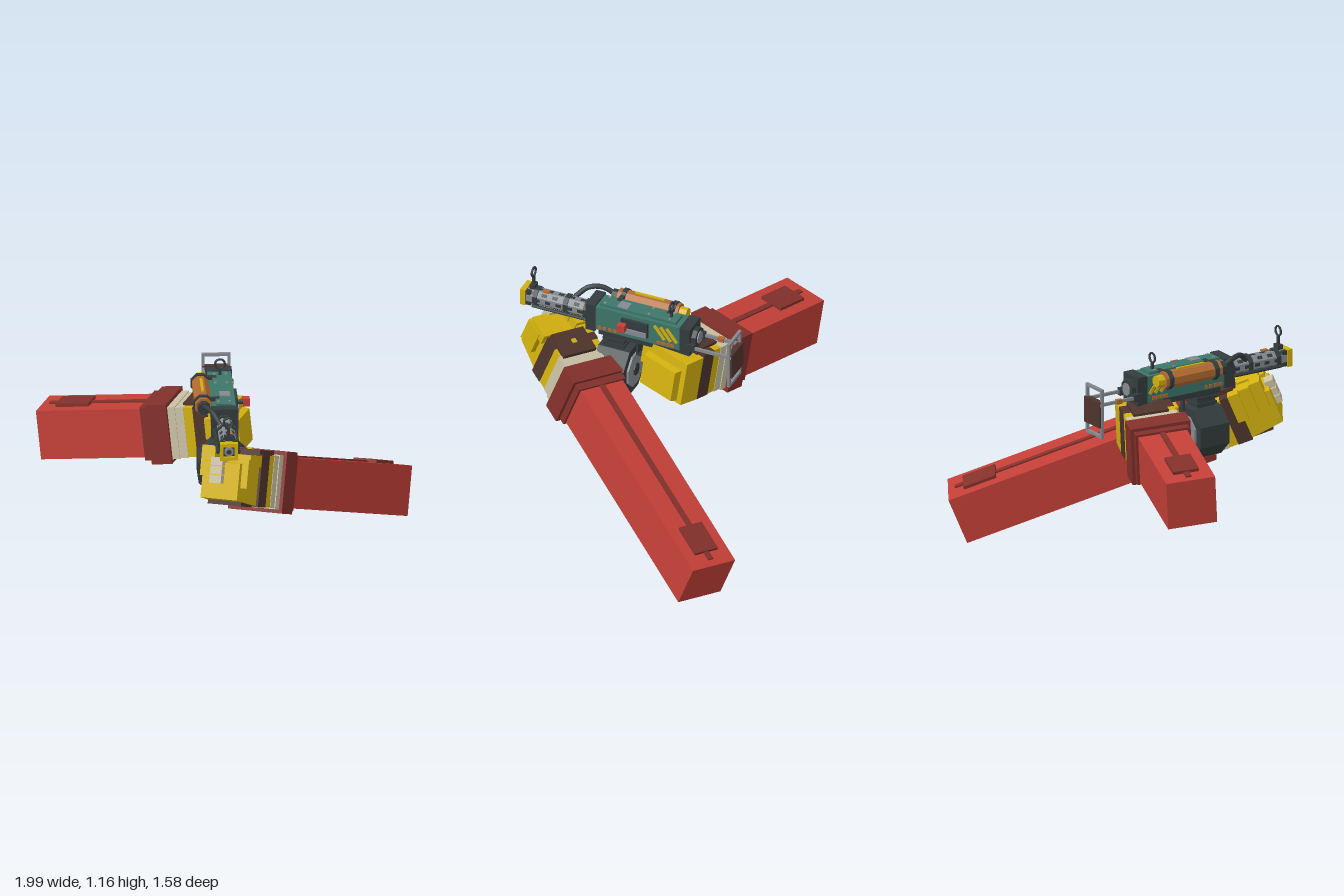
import * as THREE from 'three';

const mat = (name, color) => {
  const m = new THREE.MeshStandardMaterial({ color });
  m.name = name;
  return m;
};
const M = {
  red: mat('sleeve red', 0xc23f37), darkRed: mat('cuff dark red', 0x83302a),
  cream: mat('cream cloth', 0xc9c0a3), brown: mat('brown leather', 0x4e342c),
  yellow: mat('armour yellow', 0xd2b00f), teal: mat('receiver teal', 0x3d756a),
  dark: mat('gunmetal', 0x343c3d), steel: mat('steel', 0x858a90),
  copper: mat('copper orange', 0xb06a30),
};

function add(parent, name, geo, m, x, y, z) {
  const mesh = new THREE.Mesh(geo, m);
  mesh.name = name;
  mesh.position.set(x, y, z);
  parent.add(mesh);
  return mesh;
}
const box = (p, name, m, x, y, z, w, h, d) => add(p, name, new THREE.BoxGeometry(w, h, d), m, x, y, z);

// box whose +z end is scaled down
function wedge(p, name, m, x, y, z, w, h, d, sx, sy) {
  const g = new THREE.BoxGeometry(w, h, d).toNonIndexed(), a = g.attributes.position;
  for (let i = 0; i < a.count; i++) if (a.getZ(i) > 0) a.setXY(i, a.getX(i) * sx, a.getY(i) * sy);
  g.computeVertexNormals();
  return add(p, name, g, m, x, y, z);
}

// faceted cylinder along z
function rod(p, name, m, x, y, z, r, len, sides = 8) {
  let g = new THREE.CylinderGeometry(r, r, len, sides).rotateX(Math.PI / 2).rotateZ(Math.PI / sides);
  g = g.toNonIndexed();
  g.computeVertexNormals();
  return add(p, name, g, m, x, y, z);
}

// arm along its own +z, from the open sleeve end towards the hand
function arm(name, pos, up, axis, cuff) {
  const g = new THREE.Group();
  g.name = name;
  const u = new THREE.Vector3(...axis).normalize(), v = new THREE.Vector3(...up);
  v.addScaledVector(u, -v.dot(u)).normalize();
  g.quaternion.setFromRotationMatrix(new THREE.Matrix4().makeBasis(v.clone().cross(u), v, u));
  g.position.set(...pos);
  box(g, 'sleeve', M.red, 0, 0, (cuff + 0.03) / 2, 0.265, 0.265, cuff + 0.03);
  box(g, 'sleeveSeam', M.darkRed, 0, 0.135, cuff / 2 + 0.02, 0.03, 0.012, cuff - 0.04);
  box(g, 'sleevePatch', M.darkRed, 0, 0.139, 0.18, 0.14, 0.02, 0.18);
  // stacked bands: name, colour, start, end, size
  for (const [n, m, a, b, s] of [
    ['cuffTrim', M.darkRed, 0, 0.05, 0.29], ['cuff', M.darkRed, 0.04, 0.15, 0.325],
    ['wrap', M.cream, 0.15, 0.19, 0.285], ['wrapOuter', M.cream, 0.19, 0.235, 0.275],
    ['gloveTrim', M.yellow, 0.235, 0.285, 0.27], ['gloveBand', M.brown, 0.285, 0.365, 0.275],
  ]) box(g, n, m, 0, 0, cuff + (a + b) / 2, s, s, b - a);
  return g;
}

function leftArm() {
  const c = 1.24, g = arm('leftArm', [0.865, 0.14, -0.67], [0.111, 0.923, -0.369], [-0.535, 0.369, 0.761], c);
  // supporting hand with armour plates and curled fingers
  wedge(g, 'leftPalm', M.yellow, 0, -0.015, c + 0.45, 0.25, 0.235, 0.19, 0.88, 0.82);
  box(g, 'leftStrap', M.brown, 0.02, 0.14, c + 0.29, 0.2, 0.04, 0.15);
  box(g, 'strapStud', M.yellow, 0.02, 0.163, c + 0.29, 0.025, 0.012, 0.025);
  box(g, 'knucklePlate', M.yellow, 0.11, 0.03, c + 0.47, 0.08, 0.15, 0.11);
  box(g, 'knuckleRidge', M.yellow, 0.08, 0.1, c + 0.44, 0.13, 0.06, 0.12);
  box(g, 'palmSole', M.brown, 0, -0.128, c + 0.42, 0.2, 0.025, 0.12);
  for (let i = 0; i < 3; i++) {
    box(g, 'finger', M.yellow, -0.1, 0.06 + i * 0.012, c + 0.36 + i * 0.065, 0.08, 0.16, 0.06);
    box(g, 'fingerWrap', M.cream, -0.015, 0.085 - i * 0.047, c + 0.55, 0.07, 0.042, 0.05);
  }
  return g;
}

function rightArm() {
  const c = 0.57, g = arm('rightArm', [-0.944, 0.645, -0.40], [-0.098, 0.989, -0.113], [0.941, 0.129, 0.314], c);
  // trigger hand
  wedge(g, 'rightFist', M.yellow, 0, -0.01, c + 0.42, 0.27, 0.26, 0.13, 0.96, 0.96);
  wedge(g, 'rightKnuckles', M.yellow, -0.02, -0.03, c + 0.5, 0.24, 0.19, 0.05, 0.92, 0.9);
  box(g, 'rightStrap', M.brown, 0, 0.13, c + 0.3, 0.19, 0.04, 0.15);
  box(g, 'thumb', M.yellow, -0.15, 0.03, c + 0.42, 0.06, 0.11, 0.13);
  return g;
}

// upright ring sight
function sight(p, name, z) {
  const s = new THREE.Group();
  s.name = name;
  p.add(s);
  box(s, 'sightFoot', M.dark, 0, 1.045, z, 0.045, 0.025, 0.03);
  box(s, 'sightPost', M.dark, 0, 1.075, z, 0.014, 0.06, 0.012);
  add(s, 'sightRing', new THREE.TorusGeometry(0.026, 0.006, 6, 12), M.dark, 0, 1.13, z);
}

function gun() {
  const g = new THREE.Group();
  g.name = 'gun';
  g.position.x = -0.05;
  // receiver
  box(g, 'receiver', M.teal, 0, 0.985, 0.11, 0.125, 0.14, 0.49);
  box(g, 'receiverTop', M.teal, 0, 1.06, 0.12, 0.085, 0.018, 0.44);
  box(g, 'lowerRail', M.dark, 0, 0.9, 0.08, 0.1, 0.04, 0.52);
  box(g, 'frontBlock', M.dark, 0, 0.985, 0.38, 0.14, 0.16, 0.055);
  box(g, 'rearBlock', M.dark, 0, 0.98, -0.16, 0.135, 0.16, 0.06);
  rod(g, 'rearCap', M.dark, 0, 0.985, -0.2, 0.055, 0.03);
  rod(g, 'rearCapPlate', M.steel, 0, 0.985, -0.215, 0.035, 0.012);
  box(g, 'topPlate', M.steel, 0.01, 1.071, 0.21, 0.055, 0.008, 0.06);
  for (const z of [-0.06, 0.06, 0.31]) for (const x of [-0.03, 0.03])
    box(g, 'topBolt', M.steel, x, 1.07, z, 0.013, 0.01, 0.013);
  // painted marks on both sides
  for (const s of [-1, 1]) {
    for (let i = 0; i < 3; i++) {
      const stripe = box(g, 'hazardStripe', M.yellow, s * 0.064, 0.995, -0.015 - i * 0.035, 0.006, 0.095, 0.018);
      stripe.rotation.x = 0.65;
    }
    for (let i = 0; i < 4; i++) {
      box(g, 'frontMark', M.copper, s * 0.064, 0.932, 0.33 - i * 0.03, 0.006, 0.018, 0.02);
      box(g, 'rearMark', M.copper, s * 0.064, 0.932, -0.01 - i * 0.026, 0.006, 0.018, 0.022);
    }
  }
  // ejection port and charging handle on the left side
  box(g, 'portFrame', M.dark, 0.07, 0.99, 0.125, 0.02, 0.085, 0.15);
  box(g, 'portBolt', M.steel, 0.081, 0.967, 0.12, 0.014, 0.03, 0.13);
  rod(g, 'handleStem', M.dark, 0.1, 1.01, 0.175, 0.012, 0.06).rotation.y = Math.PI / 2;
  box(g, 'handleKnob', M.red, 0.125, 1.012, 0.175, 0.035, 0.042, 0.042);
  // barrel shroud with vents
  rod(g, 'barrelShroud', M.steel, 0, 0.985, 0.58, 0.048, 0.36);
  for (let i = 0; i < 5; i++) for (let k = 0; k < 8; k++) {
    const a = k * Math.PI / 4;
    const vent = box(g, 'vent', M.dark, 0.043 * Math.cos(a), 0.985 + 0.043 * Math.sin(a),
      0.45 + i * 0.062 + (k % 2) * 0.025, 0.006, 0.018, 0.03);
    vent.rotation.z = a;
  }
  for (const z of [0.42, 0.535, 0.71]) rod(g, 'shroudBand', M.dark, 0, 0.985, z, 0.055, 0.025);
  box(g, 'shroudTag', M.copper, 0.012, 1.035, 0.655, 0.025, 0.008, 0.035);
  for (const x of [-0.055, 0.055]) rod(g, 'sideRod', M.dark, x, 0.955, 0.56, 0.009, 0.32, 6);
  // muzzle
  box(g, 'muzzleBlock', M.dark, 0, 0.985, 0.755, 0.085, 0.085, 0.04);
  for (const s of [-1, 1]) {
    box(g, 'muzzleFrame', M.yellow, s * 0.038, 0.985, 0.778, 0.018, 0.094, 0.03);
    box(g, 'muzzleFrame', M.yellow, 0, 0.985 + s * 0.038, 0.778, 0.06, 0.018, 0.03);
  }
  rod(g, 'muzzleTube', M.steel, 0, 0.985, 0.775, 0.025, 0.03);
  rod(g, 'bore', M.dark, 0, 0.985, 0.789, 0.014, 0.006);
  sight(g, 'frontSight', 0.735);
  sight(g, 'rearSight', -0.055);
  // gas canister on the right side, with clamps and hose
  rod(g, 'canister', M.copper, -0.105, 1.035, 0.115, 0.047, 0.35);
  rod(g, 'canisterCap', M.yellow, -0.105, 1.035, -0.08, 0.032, 0.045);
  rod(g, 'canisterNeck', M.dark, -0.105, 1.035, 0.305, 0.035, 0.04);
  for (const z of [-0.03, 0.255]) {
    rod(g, 'canisterClamp', M.dark, -0.105, 1.035, z, 0.054, 0.025);
    box(g, 'clampBracket', M.dark, -0.06, 1.045, z, 0.08, 0.055, 0.025);
  }
  box(g, 'canisterRail', M.yellow, -0.105, 1.084, 0.115, 0.014, 0.008, 0.17);
  const path = new THREE.CatmullRomCurve3([[-0.105, 1.04, 0.31], [-0.1, 1.07, 0.38],
    [-0.07, 1.07, 0.45], [-0.03, 1.02, 0.51]].map(p => new THREE.Vector3(...p)));
  add(g, 'hose', new THREE.TubeGeometry(path, 12, 0.014, 6), M.dark, 0, 0, 0);
  // magazine neck and drum
  box(g, 'magazineNeck', M.dark, 0, 0.81, 0.255, 0.09, 0.18, 0.11);
  for (let i = 0; i < 4; i++) box(g, 'neckRib', M.dark, 0, 0.865 - i * 0.032, 0.255, 0.105, 0.014, 0.125);
  rod(g, 'drum', M.dark, 0, 0.68, 0.25, 0.145, 0.18);
  for (const z of [0.155, 0.345]) {
    rod(g, 'drumPlate', M.steel, 0, 0.68, z, 0.1, 0.012);
    rod(g, 'drumHub', M.dark, 0, 0.68, z, 0.035, 0.025);
  }
  // trigger, guard and grip
  box(g, 'guardFront', M.dark, 0, 0.835, 0.135, 0.03, 0.11, 0.012);
  box(g, 'guardBottom', M.dark, 0, 0.785, 0.085, 0.03, 0.012, 0.11);
  box(g, 'trigger', M.red, 0, 0.845, 0.06, 0.02, 0.07, 0.018).rotation.x = -0.25;
  box(g, 'grip', M.dark, 0, 0.79, -0.02, 0.07, 0.22, 0.085).rotation.x = 0.2;
  // wire stock with shoulder pad
  for (const s of [-1, 1]) {
    box(g, 'stockRod', M.steel, s * 0.068, 0.955, -0.31, 0.014, 0.016, 0.24);
    box(g, 'stockMount', M.dark, s * 0.066, 0.955, -0.195, 0.026, 0.04, 0.05);
    box(g, 'stockUpright', M.steel, s * 0.068, 0.905, -0.415, 0.016, 0.27, 0.016);
  }
  for (const y of [0.778, 1.032]) box(g, 'stockBar', M.steel, 0, y, -0.415, 0.15, 0.016, 0.016);
  box(g, 'shoulderPad', M.brown, 0, 0.9, -0.42, 0.145, 0.14, 0.03);
  box(g, 'stockTag', M.copper, -0.068, 0.955, -0.31, 0.022, 0.024, 0.035);
  return g;
}

export function createModel() {
  const model = new THREE.Group();
  model.name = 'armedHands';
  model.add(leftArm(), rightArm(), gun());
  return model;
}
